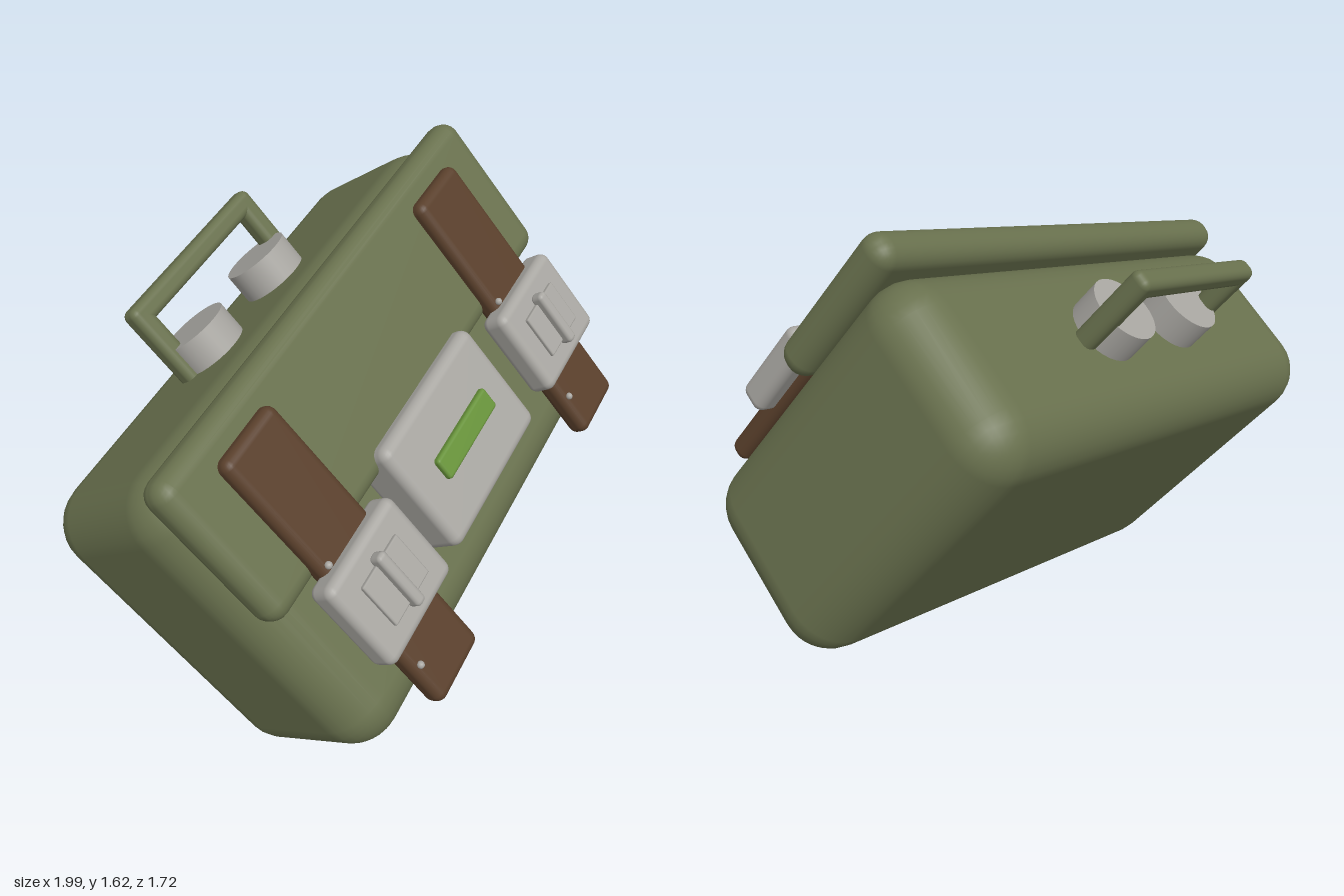
import * as THREE from 'three';
import { RoundedBoxGeometry } from 'three/addons/geometries/RoundedBoxGeometry.js';

const mat = (name, color) => {
  const m = new THREE.MeshStandardMaterial({ color });
  m.name = name;
  return m;
};

export function createModel() {
  const olive = mat('olive canvas', 0x69714e);
  const brown = mat('brown leather', 0x593f2b);
  const silver = mat('silver metal', 0xa8a6a1);
  const green = mat('green label', 0x67923a);

  const model = new THREE.Group();
  model.name = 'satchel';

  // the case lies tilted: width, height and depth axes of its own frame
  const u = new THREE.Vector3(0.798, 0.25, -0.548).normalize();
  const n = u.clone().cross(new THREE.Vector3(-0.488, 0.793, -0.366)).normalize();
  const v = n.clone().cross(u);
  const tilted = new THREE.Group();
  tilted.name = 'case';
  tilted.applyMatrix4(new THREE.Matrix4().makeBasis(u, v, n));
  model.add(tilted);

  const MID = 0.207; // middle of the case along its width

  const add = (name, geometry, material, x, y, z) => {
    const mesh = new THREE.Mesh(geometry, material);
    mesh.name = name;
    mesh.position.set(MID + x, y, z);
    tilted.add(mesh);
    return mesh;
  };
  // rounded block: centre x, bottom/top, back/front
  const block = (name, material, x, width, [y0, y1], [z0, z1], r, seg = 3) =>
    add(name, new RoundedBoxGeometry(width, y1 - y0, z1 - z0, seg, r), material,
      x, (y0 + y1) / 2, (z0 + z1) / 2);

  // main bag and front flap
  block('body', olive, 0, 1.77, [0.05, 1.16], [0.07, 0.71], 0.15, 4);
  block('flap', olive, 0, 1.73, [0.65, 1.18], [0.69, 0.81], 0.055);

  // centre plate with label
  block('centrePlate', silver, 0, 0.58, [0.315, 0.725], [0.69, 0.86], 0.035);
  block('label', green, 0, 0.33, [0.485, 0.565], [0.84, 0.88], 0.012, 2);

  // straps with buckles and pins
  for (const [side, x] of [['right', -0.565], ['left', 0.565]]) {
    block(side + 'Strap', brown, x, 0.25, [0.09, 1.09], [0.775, 0.85], 0.03);
    block(side + 'Buckle', silver, x, 0.37, [0.335, 0.655], [0.80, 0.90], 0.03);
    block(side + 'BucklePanel', silver, x, 0.2, [0.415, 0.575], [0.88, 0.912], 0.006, 1);
    block(side + 'BuckleBar', silver, x, 0.04, [0.395, 0.6], [0.89, 0.94], 0.015, 2);
    for (const y of [0.24, 0.67]) {
      add(side + 'Pin', new THREE.SphereGeometry(0.012, 10, 8), silver, x - 0.095, y, 0.852);
    }
  }

  // carrying handle
  block('handleBar', olive, 0, 0.64, [1.365, 1.435], [0.335, 0.405], 0.025);
  for (const x of [-0.285, 0.285]) {
    block('handleLeg', olive, x, 0.07, [1.12, 1.43], [0.335, 0.405], 0.025);
  }

  // metal caps on top
  for (const x of [-0.18, 0.18]) {
    add('topCap', new THREE.CylinderGeometry(0.112, 0.112, 0.14, 32), silver, x, 1.19, 0.39);
  }

  return model;
}
